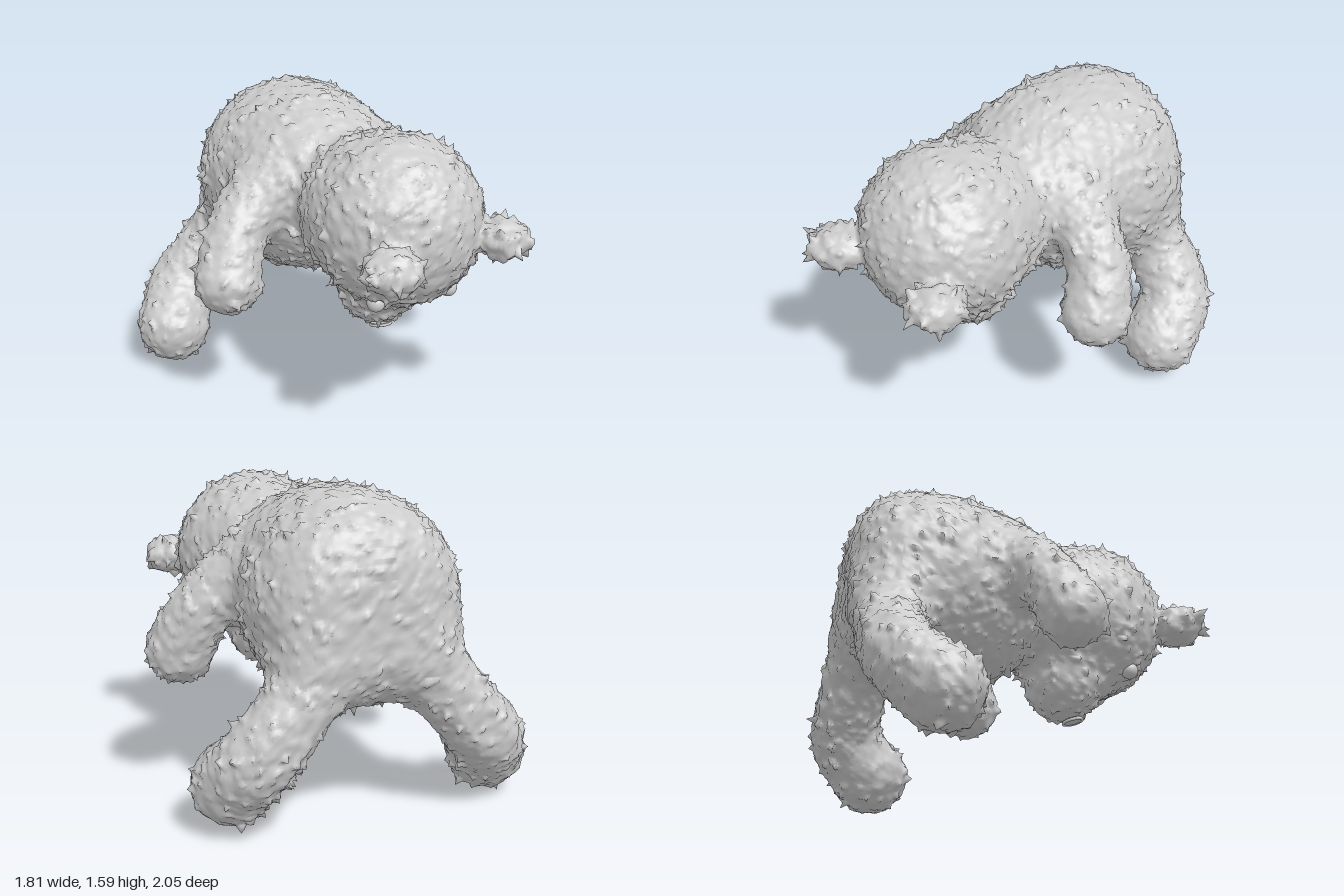
import * as THREE from 'three';

const BACK = -0.965; // the seat and legs are pressed flat against this plane
const STEP = 0.016;  // mesh spacing
const MIN = [-0.96, -0.06, -1.04], SIZE = [121, 108, 132];

// Limbs: stations [x, y, z, radius]; blend = softness of the join
const limb = (name, blend, pieces, stations) => {
  const path = new THREE.CatmullRomCurve3(stations.map(s => new THREE.Vector3(s[0], s[1], s[2])));
  const radii = new THREE.CatmullRomCurve3(stations.map(s => new THREE.Vector3(s[3], 0, 0)));
  const points = path.getPoints(pieces), r = radii.getPoints(pieces).map(v => v.x);
  const distance = (x, y, z) => {
    let best = Infinity;
    for (let i = 0; i < pieces; i++) {
      const a = points[i], b = points[i + 1];
      const ux = b.x - a.x, uy = b.y - a.y, uz = b.z - a.z;
      const dx = x - a.x, dy = y - a.y, dz = z - a.z;
      const t = Math.min(1, Math.max(0, (dx * ux + dy * uy + dz * uz) / (ux * ux + uy * uy + uz * uz)));
      const d = Math.hypot(dx - t * ux, dy - t * uy, dz - t * uz) - r[i] - t * (r[i + 1] - r[i]);
      if (d < best) best = d;
    }
    return best;
  };
  return { name, blend, distance, shag: 1 };
};

// Ellipsoids: centre and three radii; shag = roughness of the fur
const ball = (name, blend, shag, [cx, cy, cz], [rx, ry, rz]) => ({
  name, blend, shag,
  distance: (x, y, z) =>
    (Math.hypot((x - cx) / rx, (y - cy) / ry, (z - cz) / rz) - 1) * Math.min(rx, ry, rz),
});

const softMin = (a, b, k) => {
  const h = Math.max(0, k - Math.abs(a - b)) / k;
  return Math.min(a, b) - h * h * k / 4;
};

function plushParts() {
  const torso = limb('body', 0.05, 12, [
    [0.1, 1.09, -0.06, 0.28], [0.06, 1.085, -0.2, 0.4], [0.03, 1.06, -0.37, 0.485],
    [0.02, 1.04, -0.55, 0.51], [0.02, 1.03, -0.7, 0.435],
  ]);
  // Flat seat with a rounded edge
  const seated = (x, y, z) => -softMin(-torso.distance(x, y, z), z - BACK, 0.18);
  return [
    { ...torso, distance: seated },
    limb('rightLeg', 0.12, 9, [
      [-0.2, 0.84, -0.73, 0.22], [-0.39, 0.6, -0.8, 0.17],
      [-0.59, 0.37, -0.785, 0.178], [-0.695, 0.205, -0.63, 0.195],
    ]),
    limb('leftLeg', 0.12, 9, [
      [0.22, 0.84, -0.73, 0.22], [0.38, 0.6, -0.8, 0.17],
      [0.56, 0.38, -0.785, 0.178], [0.625, 0.225, -0.64, 0.195],
    ]),
    limb('rightArm', 0.1, 8, [
      [-0.14, 1.19, -0.17, 0.2], [-0.37, 1.08, -0.13, 0.16],
      [-0.525, 0.9, -0.05, 0.152], [-0.59, 0.735, 0.03, 0.167],
    ]),
    limb('leftArm', 0.1, 8, [
      [0.24, 1.19, -0.18, 0.2], [0.48, 1.08, -0.17, 0.155],
      [0.645, 0.9, -0.14, 0.152], [0.715, 0.725, -0.075, 0.17],
    ]),
    limb('head', 0.06, 2, [[0.15, 1.08, 0.405, 0.425], [0.125, 1.08, 0.27, 0.395]]),
    ball('muzzle', 0.1, 1, [0.13, 0.69, 0.275], [0.215, 0.2, 0.2]),
    ball('rightEar', 0.03, 2, [-0.1, 1.03, 0.85], [0.142, 0.097, 0.14]),
    ball('leftEar', 0.03, 2, [0.55, 1.03, 0.725], [0.128, 0.097, 0.142]),
  ];
}

// Smooth value noise for the fur
const hash = (i, j, k) => {
  const s = Math.sin(i * 127.1 + j * 311.7 + k * 74.7) * 43758.5453;
  return s - Math.floor(s);
};
function noise(x, y, z) {
  const i = Math.floor(x), j = Math.floor(y), k = Math.floor(z);
  const mix = THREE.MathUtils.lerp;
  const row = (b, c) => mix(hash(i, j + b, k + c), hash(i + 1, j + b, k + c), x - i);
  return mix(mix(row(0, 0), row(1, 0), y - j), mix(row(0, 1), row(1, 1), y - j), z - k);
}
const fur = (x, y, z) =>
  0.018 * (noise(x * 26, y * 26, z * 26) - 0.5) + 0.065 * Math.pow(noise(x * 45, y * 45, z * 45), 7);

// One seamless skin over all blended parts, returned as one geometry per part
function plushSkin(parts) {
  const field = (x, y, z) => {
    let f = Infinity;
    for (const part of parts) {
      const d = part.distance(x, y, z);
      f = f === Infinity ? d : softMin(f, d, part.blend);
    }
    return Math.max(f, BACK - z);
  };
  const nearest = p => {
    const d = parts.map(part => part.distance(p[0], p[1], p[2]));
    return d.indexOf(Math.min(...d));
  };
  const [nx, ny, nz] = SIZE, stride = [1, nx, nx * ny];
  const at = (i, axis) => MIN[axis] + i * STEP;
  const values = new Float32Array(nx * ny * nz);
  for (let k = 0, g = 0; k < nz; k++)
    for (let j = 0; j < ny; j++)
      for (let i = 0; i < nx; i++) values[g++] = field(at(i, 0), at(j, 1), at(k, 2));

  // A vertex in every cell the surface crosses, drawn onto the surface
  const ids = new Int32Array(values.length).fill(-1), positions = [], owner = [];
  const gradient = ([x, y, z]) => {
    const e = 0.004;
    return new THREE.Vector3(
      field(x + e, y, z) - field(x - e, y, z),
      field(x, y + e, z) - field(x, y - e, z),
      field(x, y, z + e) - field(x, y, z - e)).divideScalar(2 * e);
  };
  for (let k = 0; k < nz - 1; k++)
    for (let j = 0; j < ny - 1; j++)
      for (let i = 0; i < nx - 1; i++) {
        const g = i + j * stride[1] + k * stride[2];
        let inside = 0;
        for (let c = 0; c < 8; c++)
          if (values[g + (c & 1) + (c >> 1 & 1) * stride[1] + (c >> 2) * stride[2]] < 0) inside++;
        if (inside === 0 || inside === 8) continue;
        const p = [at(i + 0.5, 0), at(j + 0.5, 1), at(k + 0.5, 2)];
        let n;
        for (let pass = 0; pass < 3; pass++) {
          n = gradient(p);
          const move = field(...p) / Math.max(n.lengthSq(), 0.2);
          p[0] -= n.x * move; p[1] -= n.y * move; p[2] -= n.z * move;
        }
        n.normalize();
        const part = nearest(p), d = fur(...p) * parts[part].shag;
        ids[g] = owner.length;
        owner.push(part);
        positions.push(p[0] + n.x * d, p[1] + n.y * d, p[2] + n.z * d);
      }

  // A quad around every grid edge the surface crosses
  const faces = parts.map(() => []);
  for (let g = stride[2] + nx + 1; g < values.length - stride[2]; g++)
    for (let a = 0; a < 3; a++) {
      if (values[g] < 0 === values[g + stride[a]] < 0) continue;
      const b = stride[(a + 1) % 3], c = stride[(a + 2) % 3];
      const q = [ids[g], ids[g - b], ids[g - b - c], ids[g - c]];
      if (values[g] >= 0) q.reverse();
      faces[owner[q[0]]].push(q[0], q[1], q[2], q[0], q[2], q[3]);
    }
  const whole = new THREE.BufferGeometry();
  whole.setAttribute('position', new THREE.Float32BufferAttribute(positions, 3));
  whole.setIndex(faces.flat());
  whole.computeVertexNormals();
  return faces.map(index => whole.clone().setIndex(index));
}

export function createModel() {
  const model = new THREE.Group();
  const material = new THREE.MeshStandardMaterial({ color: 0xcccccc, roughness: 0.9 });
  const add = (name, geometry, position = [0, 0, 0]) => {
    const mesh = new THREE.Mesh(geometry, material);
    mesh.name = name;
    mesh.position.set(...position);
    model.add(mesh);
    return mesh;
  };

  // Furry body, limbs, head and ears
  const parts = plushParts();
  plushSkin(parts).forEach((geometry, i) => add(parts[i].name, geometry));

  // Smooth button eyes
  for (const [name, x, z] of [['rightEye', -0.045, 0.585], ['leftEye', 0.355, 0.575]])
    add(name, new THREE.SphereGeometry(0.045, 24, 16), [x, 0.745, z]);

  // Flat nose button with a raised rim, tilted under the muzzle
  const nose = add('nose', new THREE.CylinderGeometry(0.055, 0.055, 0.014, 28), [0.12, 0.482, 0.32]);
  nose.rotation.x = -0.25;
  const rim = new THREE.Mesh(new THREE.TorusGeometry(0.052, 0.008, 8, 28).rotateX(Math.PI / 2), material);
  rim.name = 'noseRim';
  rim.position.y = -0.004;
  nose.add(rim);

  return model;
}
